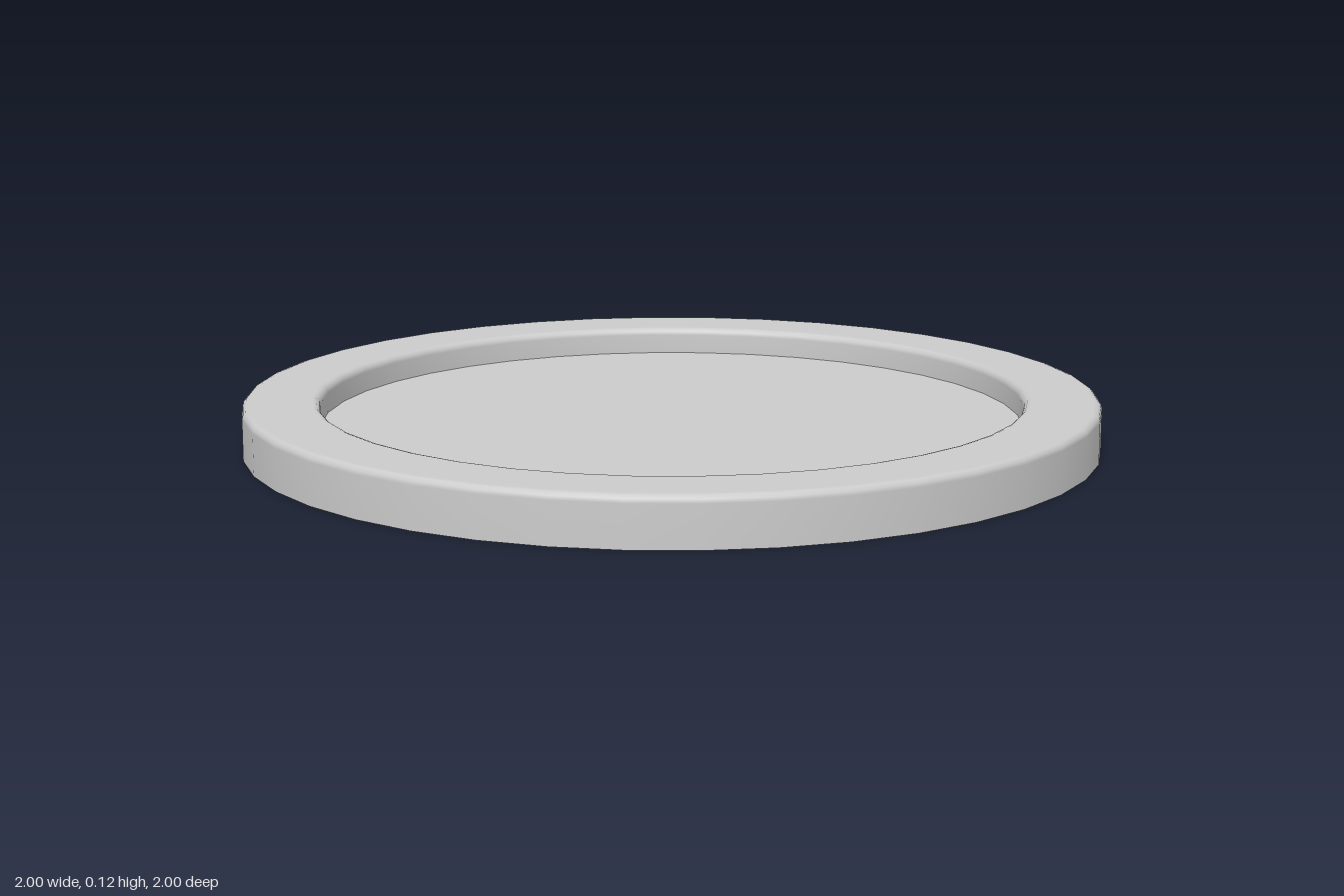
import * as THREE from 'three';

const SIDES = 40;

// quarter-round corner points, from angle a0 to a1 around (cx, cy)
function corner(cx, cy, r, a0, a1, steps = 3) {
  return Array.from({ length: steps + 1 }, (_, i) => {
    const a = a0 + ((a1 - a0) * i) / steps;
    return new THREE.Vector2(cx + r * Math.cos(a), cy + r * Math.sin(a));
  });
}

export function createModel() {
  const group = new THREE.Group();
  const material = new THREE.MeshStandardMaterial({ color: 0xcccccc, side: THREE.DoubleSide });
  const outer = 1, inner = 0.82, height = 0.115, floor = 0.05, bevel = 0.018;

  // thin shell: outer wall, flat top flange, inner wall; open underneath
  const profile = [
    new THREE.Vector2(outer, 0),
    ...corner(outer - bevel, height - bevel, bevel, 0, Math.PI / 2),
    ...corner(inner + bevel, height - bevel, bevel, Math.PI / 2, Math.PI),
    new THREE.Vector2(inner, floor),
  ];
  const rim = new THREE.Mesh(new THREE.LatheGeometry(profile, SIDES), material);
  rim.name = 'rim';
  group.add(rim);

  // recessed disc closing the inner wall
  const disc = new THREE.Mesh(new THREE.CircleGeometry(inner, SIDES), material);
  disc.name = 'recessedDisc';
  disc.rotation.x = -Math.PI / 2;
  disc.position.y = floor;
  group.add(disc);

  return group;
}
